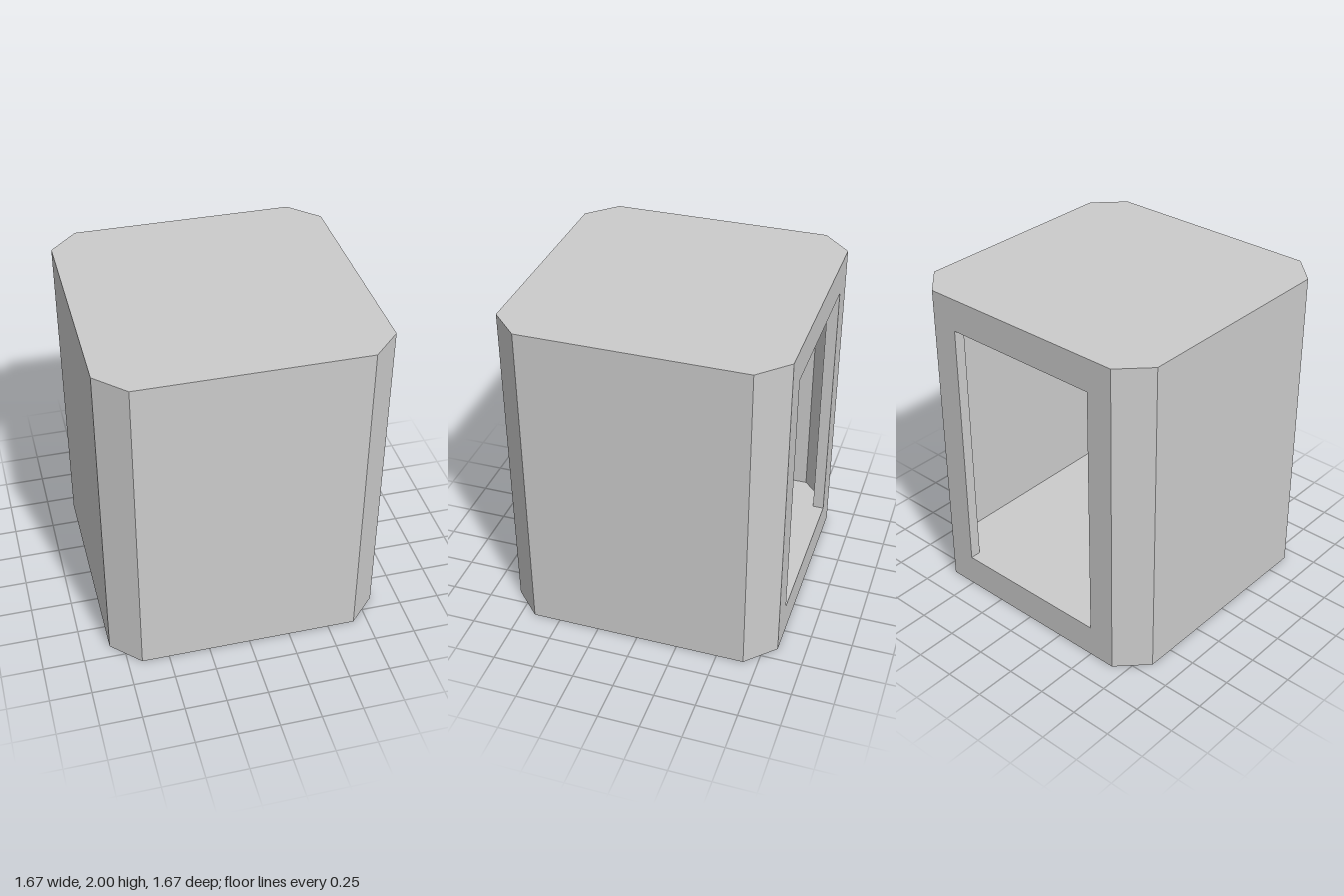
import * as THREE from 'three';

const material = new THREE.MeshStandardMaterial({ color: 0xcccccc, flatShading: true });

// Mirror one half of a plan outline, [x, z] points, across x = 0
const mirrored = (half) => [...half, ...half.map(([x, z]) => [-x, z]).reverse()];

// Vertical walls along an open plan path, facing the right-hand side of travel
function wallStrip(path, y0, y1) {
  const pos = [];
  for (let i = 0; i < path.length - 1; i++) {
    const [ax, az] = path[i], [bx, bz] = path[i + 1];
    pos.push(ax, y0, az, bx, y0, bz, bx, y1, bz);
    pos.push(ax, y0, az, bx, y1, bz, ax, y1, az);
  }
  const g = new THREE.BufferGeometry();
  g.setAttribute('position', new THREE.Float32BufferAttribute(pos, 3));
  g.computeVertexNormals();
  return g;
}

// Horizontal slab face with the outline of a plan path
function planFace(path, y, up) {
  const s = up ? -1 : 1;
  const shape = new THREE.Shape(path.map(([x, z]) => new THREE.Vector2(x, s * z)));
  return new THREE.ShapeGeometry(shape).rotateX(s * Math.PI / 2).translate(0, y, 0);
}

export function createModel() {
  const group = new THREE.Group();
  const add = (name, geometry) => {
    const mesh = new THREE.Mesh(geometry, material);
    mesh.name = name;
    group.add(mesh);
  };

  const H = 2, R = 0.833, C = 0.665;          // outer height, half width, chamfer start
  const y0 = 0.2, y1 = 1.8, door = 0.5;       // floor, ceiling, half opening width

  // Outer shell: chamfered square plan, open along the back side
  const outer = mirrored([[-C, -R], [-R, -C], [-R, C], [-C, R]]);
  add('outerWalls', wallStrip(outer, 0, H));
  add('roof', planFace(outer, H, true));
  add('base', planFace(outer, 0, false));

  // Back panel with its rectangular opening
  const back = new THREE.Shape([[-C, 0], [C, 0], [C, H], [-C, H]].map((p) => new THREE.Vector2(...p)));
  back.holes.push(new THREE.Path(
    [[-door, y0], [-door, y1], [door, y1], [door, y0]].map((p) => new THREE.Vector2(...p))));
  add('backPanel', new THREE.ShapeGeometry(back).rotateY(Math.PI).translate(0, 0, -R));

  // Chamber: door jambs, chamfered inner walls, floor and ceiling
  const inner = mirrored([
    [door, -R], [door, -0.765], [0.635, -0.765], [0.74, -0.66], [0.74, 0.66], [0.635, 0.765],
  ]);
  add('chamberWalls', wallStrip(inner, y0, y1));
  add('chamberFloor', planFace(inner, y0, true));
  add('chamberCeiling', planFace(inner, y1, false));

  return group;
}
